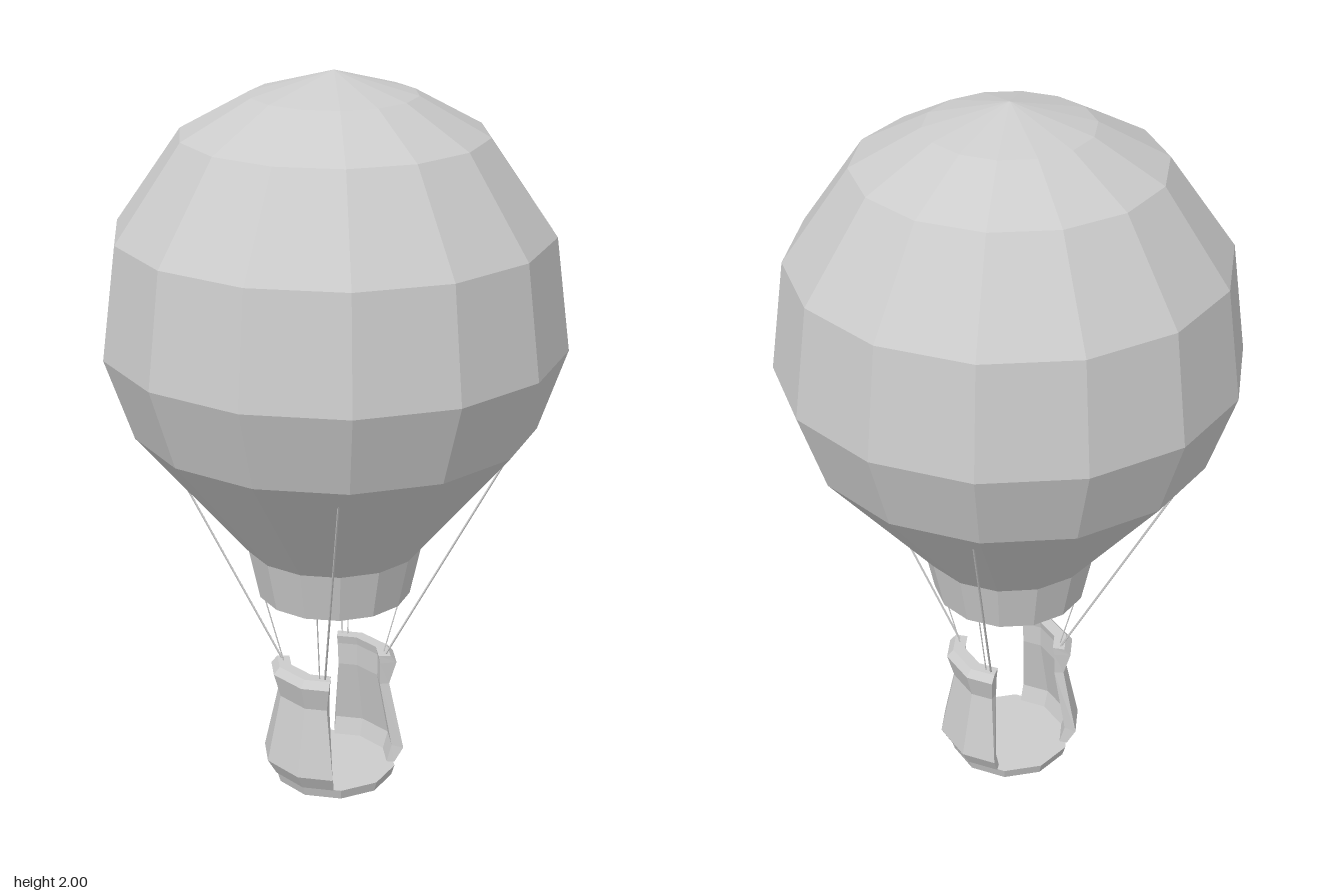
import * as THREE from 'three';

const grey = new THREE.MeshStandardMaterial({ color: 0xcccccc, flatShading: true });
const greyDouble = new THREE.MeshStandardMaterial({ color: 0xcccccc, flatShading: true, side: THREE.DoubleSide });

function addMesh(parent, name, geometry, material = grey) {
  const mesh = new THREE.Mesh(geometry, material);
  mesh.name = name;
  parent.add(mesh);
  return mesh;
}

// Thick side wall of the ten-sided basket: one full facet and part of each neighbour.
// Rows are [corner radius, y, how far the wall reaches along the neighbouring facet].
function basketWallGeometry() {
  const outer = [[0.178, 0.03, 0.8], [0.204, 0.075, 0.78], [0.163, 0.27, 0.61], [0.183, 0.34, 0.68], [0.165, 0.36, 0.7]];
  const inner = [[0.155, 0.03, 0.8], [0.17, 0.08, 0.75], [0.135, 0.27, 0.65], [0.135, 0.335, 0.68], [0.13, 0.36, 0.7]];
  const loop = [...outer, ...inner.slice().reverse()];
  const n = loop.length;
  const corner = (r, y, degrees) => {
    const a = THREE.MathUtils.degToRad(degrees);
    return new THREE.Vector3(r * Math.cos(a), y, r * Math.sin(a));
  };
  const columns = [-1, -0.5, 0.5, 1].map((k) => loop.map(([r, y, reach]) => {
    const p = corner(r, y, 18 * Math.sign(k));
    return Math.abs(k) === 1 ? p.lerp(corner(r, y, 54 * Math.sign(k)), reach) : p;
  }));

  const points = [];
  const quad = (a, b, c, d) => points.push(a, b, c, a, c, d);
  for (let j = 0; j < 3; j++) {
    for (let i = 0; i < n; i++) {
      const next = (i + 1) % n;
      quad(columns[j][i], columns[j][next], columns[j + 1][next], columns[j + 1][i]);
    }
  }
  // End faces beside the openings
  const [first, last] = [columns[0], columns[3]];
  for (let i = 0; i < outer.length - 1; i++) {
    const m = n - 1 - i;
    quad(first[i], first[m], first[m - 1], first[i + 1]);
    quad(last[i], last[i + 1], last[m - 1], last[m]);
  }
  const geometry = new THREE.BufferGeometry().setFromPoints(points);
  geometry.computeVertexNormals();
  return geometry;
}

function addRope(parent, name, from, to, radius) {
  const path = new THREE.LineCurve3(new THREE.Vector3(...from), new THREE.Vector3(...to));
  addMesh(parent, name, new THREE.TubeGeometry(path, 1, radius, 5));
}

export function createModel() {
  const model = new THREE.Group();
  model.name = 'hotAirBalloon';

  // Envelope with an open mouth
  const profile = [
    [0.21, 0.57], [0.24, 0.71], [0.39, 0.89], [0.54, 1.07], [0.615, 1.29],
    [0.575, 1.59], [0.4, 1.84], [0.217, 1.94], [0, 2],
  ].map(([r, y]) => new THREE.Vector2(r, y));
  addMesh(model, 'envelope', new THREE.LatheGeometry(profile, 14, Math.PI / 2), greyDouble);

  // Basket: floor and two side walls, open at front and back
  const basket = new THREE.Group();
  basket.name = 'basket';
  model.add(basket);
  addMesh(basket, 'floor', new THREE.CylinderGeometry(0.175, 0.166, 0.03, 10)).position.y = 0.015;
  const wall = basketWallGeometry();
  addMesh(basket, 'leftWall', wall);
  addMesh(basket, 'rightWall', wall).rotation.y = Math.PI;

  // Ropes from each rim corner to the envelope side and to its mouth
  const ropes = new THREE.Group();
  ropes.name = 'ropes';
  model.add(ropes);
  for (const sx of [-1, 1]) {
    for (const sz of [-1, 1]) {
      const rim = [sx * 0.112, 0.35, sz * 0.085];
      addRope(ropes, 'sideRope', rim, [sx * 0.325, 1.025, sz * 0.37], 0.003);
      addRope(ropes, 'mouthRope', [sx * 0.12, 0.35, sz * 0.073], [sx * 0.165, 0.58, sz * 0.112], 0.0018);
    }
  }
  return model;
}
